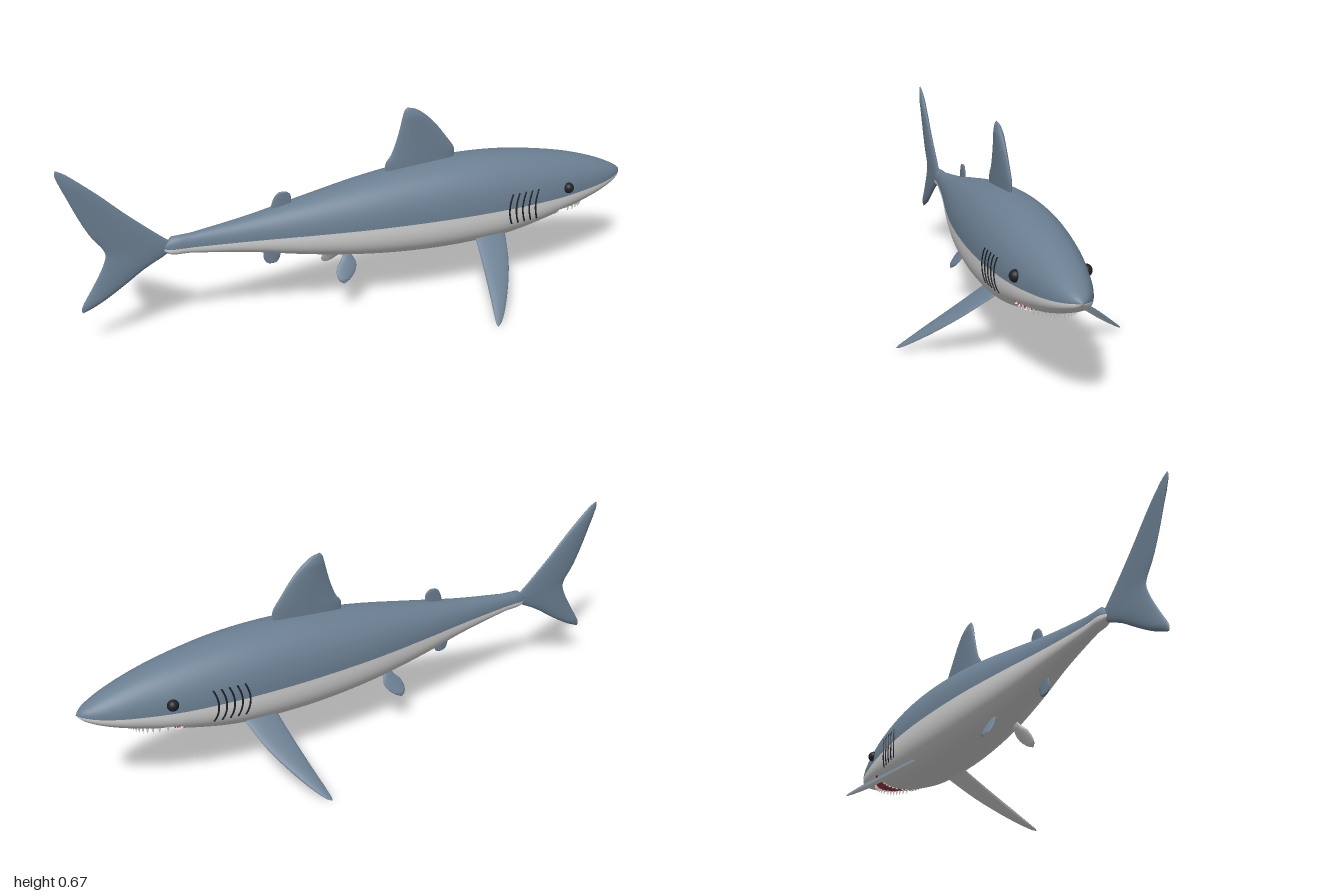
import * as THREE from 'three';

const paint = (name, color, side = THREE.FrontSide) => {
  const m = new THREE.MeshStandardMaterial({ color, side });
  m.name = name;
  return m;
};

// Smooth grid surface from a function (u, v) -> [x, y, z]
function patch(nu, nv, fn) {
  const pos = [], idx = [];
  for (let i = 0; i <= nu; i++) {
    for (let j = 0; j <= nv; j++) {
      pos.push(...fn(i / nu, j / nv));
      if (i === nu || j === nv) continue;
      const a = i * (nv + 1) + j, b = a + nv + 1;
      idx.push(a, b, a + 1, b, b + 1, a + 1);
    }
  }
  const g = new THREE.BufferGeometry();
  g.setAttribute('position', new THREE.Float32BufferAttribute(pos, 3));
  g.setIndex(idx);
  g.computeVertexNormals();
  return g;
}

// Body stations: x, top, bottom, half width, colour line
const stations = [
  [-0.69, 0.312, 0.302, 0.002, 0.307], [-0.675, 0.334, 0.290, 0.016, 0.307],
  [-0.6, 0.345, 0.281, 0.023, 0.306], [-0.4, 0.373, 0.251, 0.05, 0.305],
  [-0.2, 0.410, 0.212, 0.085, 0.305], [0, 0.446, 0.183, 0.115, 0.305],
  [0.2, 0.470, 0.168, 0.132, 0.305], [0.36, 0.477, 0.168, 0.137, 0.305],
  [0.52, 0.470, 0.178, 0.132, 0.305], [0.7, 0.443, 0.217, 0.112, 0.306],
  [0.8, 0.420, 0.243, 0.092, 0.310], [0.9, 0.387, 0.274, 0.066, 0.317],
  [0.96, 0.360, 0.299, 0.040, 0.324], [0.985, 0.345, 0.314, 0.021, 0.328],
  [1, 0.330, 0.330, 0, 0.330],
];
const profile = new THREE.CubicInterpolant(
  stations.map(s => s[0]), stations.flatMap(s => s.slice(1)), 4);

// Point on the body; angle 0 is the belly line, PI the back line
function bodyPoint(x, angle) {
  const [top, bottom, width, mid] = profile.evaluate(x);
  const c = -Math.cos(angle), s = Math.sin(angle);
  const n = c > 0 ? 2.15 : 2.5;
  const round = k => Math.sign(k) * Math.abs(k) ** (2 / n);
  const h = c > 0 ? top - mid : mid - bottom;
  return [x, mid + Math.max(h, 0) * round(c), Math.max(width, 0) * round(s)];
}

// Mouth lips, both meeting at the corners
const CORNER = Math.PI / 3;
const bow = a => Math.max(0, 1 - (a / CORNER) ** 2);
const upperLip = a => 0.70 + 0.13 * bow(a) ** 0.7;
const lowerLip = a => 0.70 + 0.012 * bow(a);

export function createModel() {
  const model = new THREE.Group();
  const slate = paint('slateBlue', 0x6b7f92);
  const pale = paint('paleBelly', 0xd4d4d4);
  const red = paint('mouthRed', 0xa83246, THREE.DoubleSide);
  const ivory = paint('toothWhite', 0xf2f0e6);
  const dark = paint('darkDetail', 0x1d2227);

  const add = (name, geometry, material, parent = model) => {
    const mesh = new THREE.Mesh(geometry, material);
    mesh.name = name;
    parent.add(mesh);
    return mesh;
  };

  // Body: dark back, pale belly behind the mouth, pale snout in front of it
  const half = v => (v - 0.5) * Math.PI;
  const ease = u => Math.sin(u * Math.PI / 2);
  add('back', patch(80, 40, (u, v) =>
    bodyPoint(-0.69 + 1.69 * ease(u), half(v) + Math.PI)), slate);
  add('belly', patch(64, 48, (u, v) => {
    const a = half(v);
    return bodyPoint(-0.69 + (lowerLip(a) + 0.69) * u, a);
  }), pale);
  add('snoutUnderside', patch(24, 48, (u, v) => {
    const a = half(v), x = upperLip(a);
    return bodyPoint(x + (1 - x) * ease(u), a);
  }), pale);

  // Mouth lining curves inwards from lip to lip
  add('mouthLining', patch(12, 32, (u, v) => {
    const a = (v * 2 - 1) * CORNER;
    const p = bodyPoint(lowerLip(a), a), q = bodyPoint(upperLip(a), a);
    const deep = [0.70, Math.max(p[1], q[1]) + 0.05 * bow(a), p[2] * 0.95];
    return p.map((k, i) =>
      (1 - u) ** 2 * k + 2 * u * (1 - u) * deep[i] + u * u * q[i]);
  }), red);

  // Teeth along both lips
  const teeth = new THREE.Group();
  teeth.name = 'teeth';
  model.add(teeth);
  const toothShape = new THREE.ConeGeometry(0.0055, 0.022, 6);
  const toothRow = (name, count, lip, dir) => {
    for (let i = 0; i < count; i++) {
      const a = ((i + 0.5) / count * 2 - 1) * CORNER * 0.95;
      const [x, y, z] = bodyPoint(lip(a), a);
      const tooth = add(name, toothShape, ivory, teeth);
      tooth.position.set(x - 0.003 * dir, y + 0.007 * dir, z * 0.97);
      if (dir < 0) tooth.rotation.x = Math.PI;
    }
  };
  toothRow('upperTooth', 18, upperLip, -1);
  toothRow('lowerTooth', 16, lowerLip, 1);

  // Lens-section fin from rows of span, rear edge, front edge
  function fin(name, rows, thick, plusSide = slate, minusSide = slate) {
    const group = new THREE.Group();
    group.name = name;
    const curve = new THREE.CatmullRomCurve3(rows.map(r => new THREE.Vector3(...r)));
    [plusSide, minusSide].forEach((material, side) => {
      add(name + 'Face', patch(12, 36, (u, v) => {
        const { x: span, y: rear, z: front } = curve.getPoint(v);
        const a = (u + side) * Math.PI, chord = Math.max(front - rear, 0);
        return [(rear + front) / 2 - Math.cos(a) * chord / 2, span,
          Math.sin(a) * Math.min(thick, chord * 0.15)];
      }), material, group);
    });
    model.add(group);
    return group;
  }

  fin('dorsalFin', [[0.44, 0.08, 0.33], [0.485, 0.08, 0.332], [0.51, 0.098, 0.33],
    [0.55, 0.115, 0.302], [0.6, 0.13, 0.263], [0.64, 0.14, 0.222],
    [0.662, 0.147, 0.19], [0.672, 0.157, 0.157]], 0.0125);
  fin('tailFin', [[0.128, -0.955, -0.955], [0.14, -0.958, -0.925], [0.16, -0.95, -0.885],
    [0.2, -0.925, -0.82], [0.25, -0.895, -0.745], [0.29, -0.875, -0.67],
    [0.315, -0.868, -0.645], [0.34, -0.876, -0.675], [0.38, -0.905, -0.722],
    [0.45, -0.94, -0.80], [0.52, -0.968, -0.872], [0.57, -0.988, -0.928],
    [0.605, -0.999, -0.97], [0.619, -0.995, -0.995]], 0.01);
  fin('secondDorsalFin', [[0.375, -0.325, -0.26], [0.4, -0.322, -0.254],
    [0.425, -0.312, -0.256], [0.437, -0.3, -0.267], [0.441, -0.285, -0.285]], 0.005);
  fin('analFin', [[0.19, -0.325, -0.325], [0.194, -0.342, -0.308],
    [0.21, -0.353, -0.298], [0.23, -0.354, -0.295], [0.26, -0.345, -0.3]], 0.005);

  // Paired fins: dark above, pale beneath
  const pectoralRows = [[-0.04, 0.375, 0.5], [0, 0.375, 0.49], [0.11, 0.362, 0.46],
    [0.222, 0.345, 0.41], [0.3, 0.332, 0.365], [0.325, 0.329, 0.345], [0.334, 0.332, 0.332]];
  const pelvicRows = [[-0.02, -0.09, -0.065], [0, -0.1, -0.055], [0.02, -0.117, -0.05],
    [0.045, -0.125, -0.058], [0.068, -0.121, -0.08], [0.082, -0.105, -0.105]];
  for (const side of [1, -1]) {
    const label = side > 0 ? 'left' : 'right';
    const faces = side > 0 ? [pale, slate] : [slate, pale];
    const pectoral = fin(label + 'PectoralFin', pectoralRows, 0.01, ...faces);
    pectoral.position.set(0, 0.2, 0.1 * side);
    pectoral.rotation.x = 2.197 * side;
    const pelvic = fin(label + 'PelvicFin', pelvicRows, 0.006, ...faces);
    pelvic.position.set(0, 0.185, 0.05 * side);
    pelvic.rotation.x = 2.6 * side;

    // Eye
    add(label + 'Eye', new THREE.SphereGeometry(0.019, 20, 14), dark)
      .position.set(0.73, 0.336, 0.104 * side);

    // Five curved gill slits lying on the skin
    for (let i = 0; i < 5; i++) {
      const points = [];
      for (let k = 0; k <= 8; k++) {
        const t = k / 4 - 1;
        const x = 0.485 + 0.026 * i + 0.014 * t * t;
        const y = 0.302 + 0.055 * t;
        const [top, bottom, width, mid] = profile.evaluate(x);
        const up = y > mid, n = up ? 2.15 : 2.5;
        const d = Math.abs(y - mid) / (up ? top - mid : mid - bottom);
        points.push(new THREE.Vector3(x, y, side * width * (1 - d ** n) ** (1 / n)));
      }
      add(label + 'GillSlit', new THREE.TubeGeometry(
        new THREE.CatmullRomCurve3(points), 16, 0.0032, 6), dark);
    }
  }
  return model;
}
